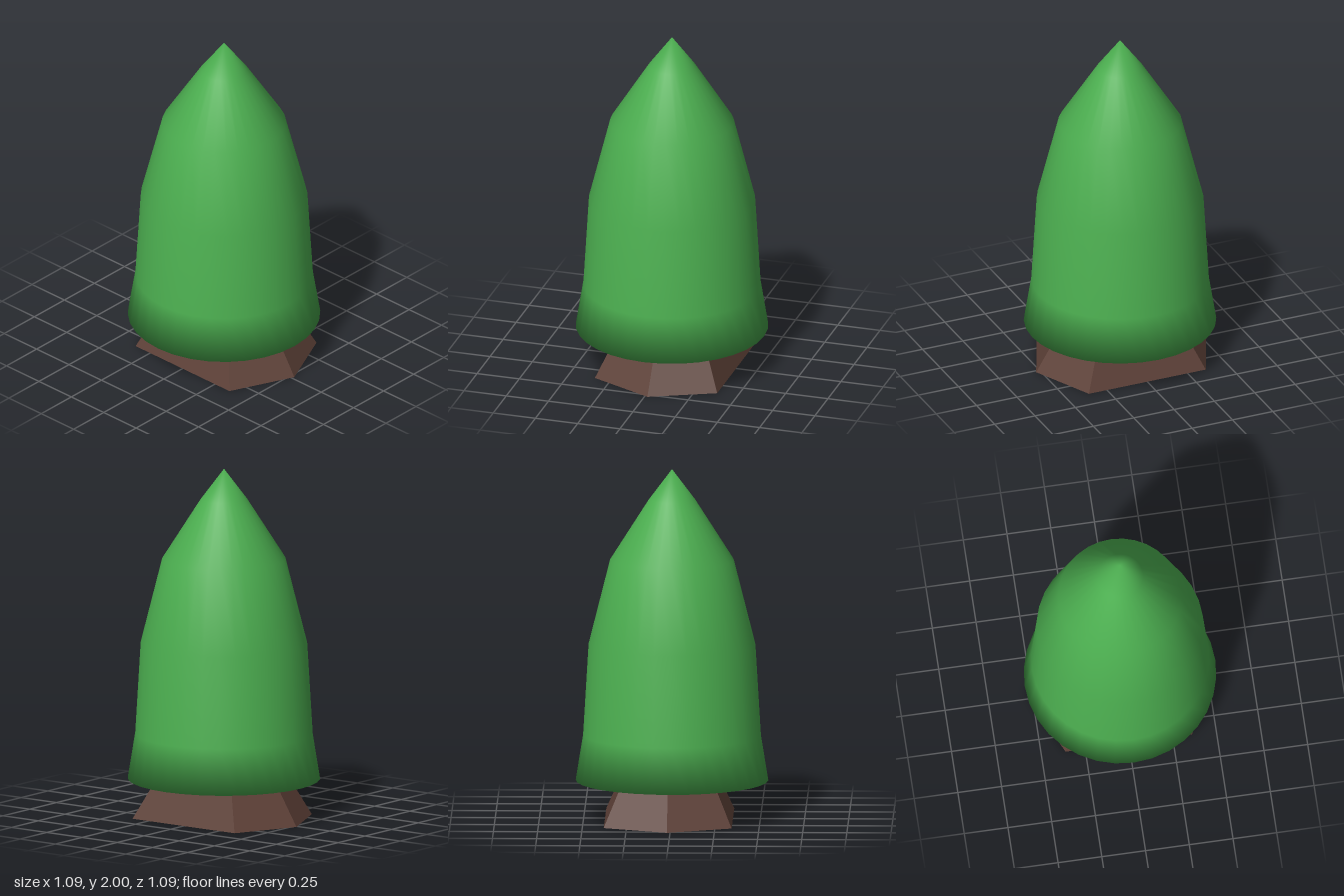
import * as THREE from 'three';
import { mergeVertices } from 'three/addons/utils/BufferGeometryUtils.js';
import { ConvexGeometry } from 'three/addons/geometries/ConvexGeometry.js';

export function createModel() {
  const model = new THREE.Group();
  model.name = 'tree';

  // Foliage: one closed turned body, smooth over the rim and the tip
  const profile = [
    [0, 0.22], [0.545, 0.22], [0.503, 0.48], [0.472, 1.0],
    [0.35, 1.483], [0.132, 1.825], [0, 2],
  ].map(([r, y]) => new THREE.Vector2(r, y));
  let foliageGeometry = new THREE.LatheGeometry(profile, 32);
  foliageGeometry.deleteAttribute('normal');
  foliageGeometry.deleteAttribute('uv');
  foliageGeometry = mergeVertices(foliageGeometry, 1e-4);
  foliageGeometry.computeVertexNormals();
  const foliage = new THREE.Mesh(
    foliageGeometry,
    new THREE.MeshStandardMaterial({ color: 0x4caf50 }),
  );
  foliage.name = 'foliage';
  model.add(foliage);

  // Trunk: tapered six-sided block with wide front and back faces
  const outline = [
    [0.527, 0], [0.362, 0.362], [-0.362, 0.362],
    [-0.527, 0], [-0.362, -0.362], [0.362, -0.362],
  ];
  const corners = [];
  for (const [y, scale] of [[0, 1], [0.22, 0.74]]) {
    for (const [x, z] of outline) {
      corners.push(new THREE.Vector3(x * scale, y, z * scale - 0.017));
    }
  }
  const trunk = new THREE.Mesh(
    new ConvexGeometry(corners),
    new THREE.MeshStandardMaterial({ color: 0x5d4037, flatShading: true }),
  );
  trunk.name = 'trunk';
  model.add(trunk);

  return model;
}
